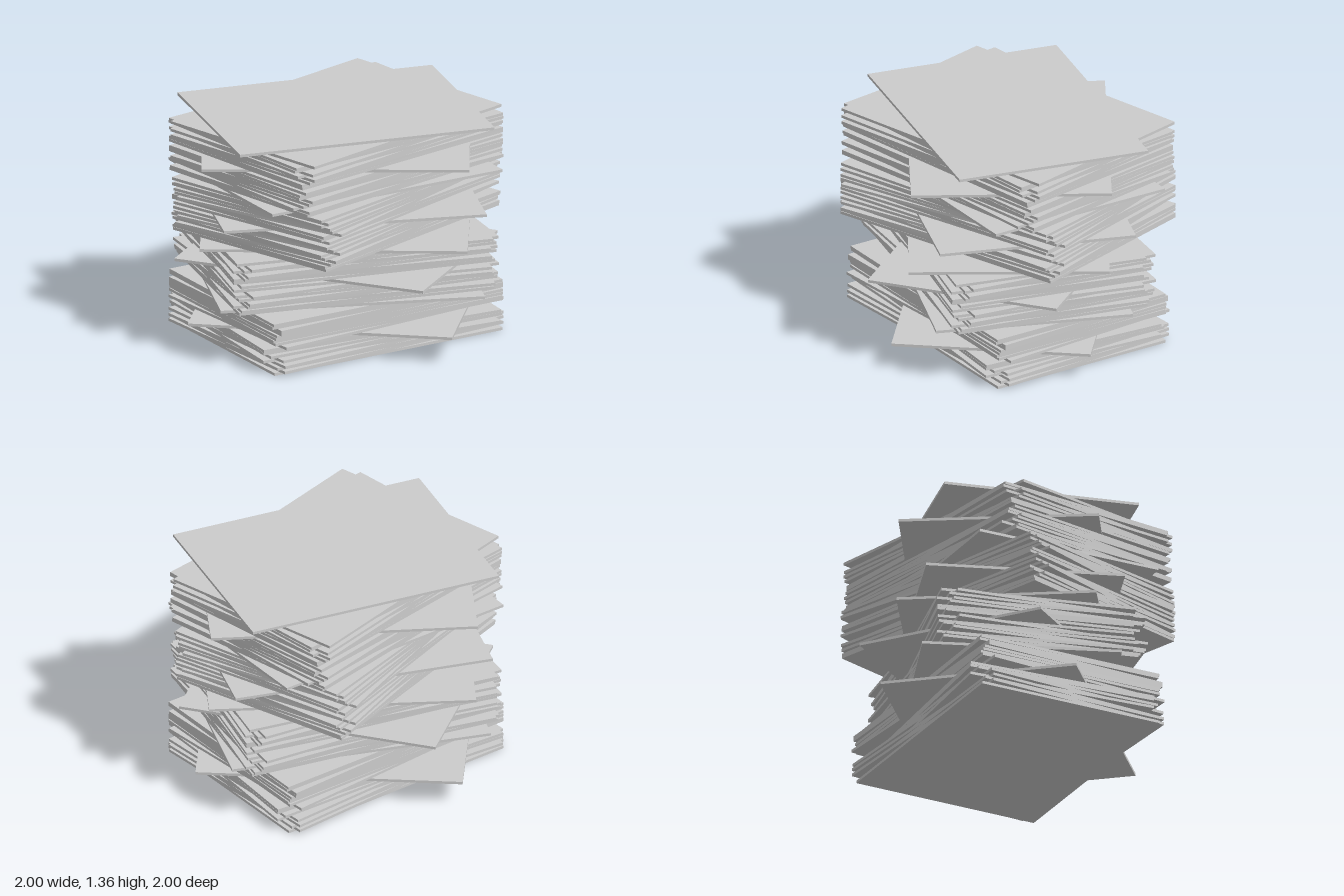
import * as THREE from 'three';

const COUNT = 80, WIDTH = 1.6, DEPTH = 1.2, THICK = 0.017;

// Each block of twenty sheets shares a mean turn, in degrees
const BLOCK_TURN = [0, -12.5, 19.5, 10];
const JITTER = 4.6;

// Every tenth sheet is turned on its own
const DIVIDER_TURN = [-40.8, -22, -53.5, -33, -20.5, -0.8, -32, -13.4];

// Small seeded generator for the loose shuffle of the stack
function seeded(seed) {
  return () => {
    seed = (seed * 1664525 + 1013904223) % 4294967296;
    return seed / 4294967296;
  };
}

export function createModel() {
  const group = new THREE.Group();
  group.name = 'sheetStack';
  const material = new THREE.MeshStandardMaterial({ color: 0xcccccc });
  const sheetGeometry = new THREE.BoxGeometry(WIDTH, THICK, DEPTH);
  const random = seeded(7);

  for (let i = 0; i < COUNT; i++) {
    const isDivider = i % 10 === 9;
    const jitter = (random() * 2 - 1) * JITTER;
    let turn = BLOCK_TURN[Math.floor(i / 20)] + jitter;
    if (isDivider) turn = DIVIDER_TURN[Math.floor(i / 10)];
    if (i === 0) turn = 0; // the bottom sheet lies square

    const sheet = new THREE.Mesh(sheetGeometry, material);
    sheet.name = isDivider ? 'turnedSheet' : 'sheet';
    sheet.position.y = (i + 0.5) * THICK;
    sheet.rotation.y = THREE.MathUtils.degToRad(turn);
    group.add(sheet);
  }
  return group;
}
